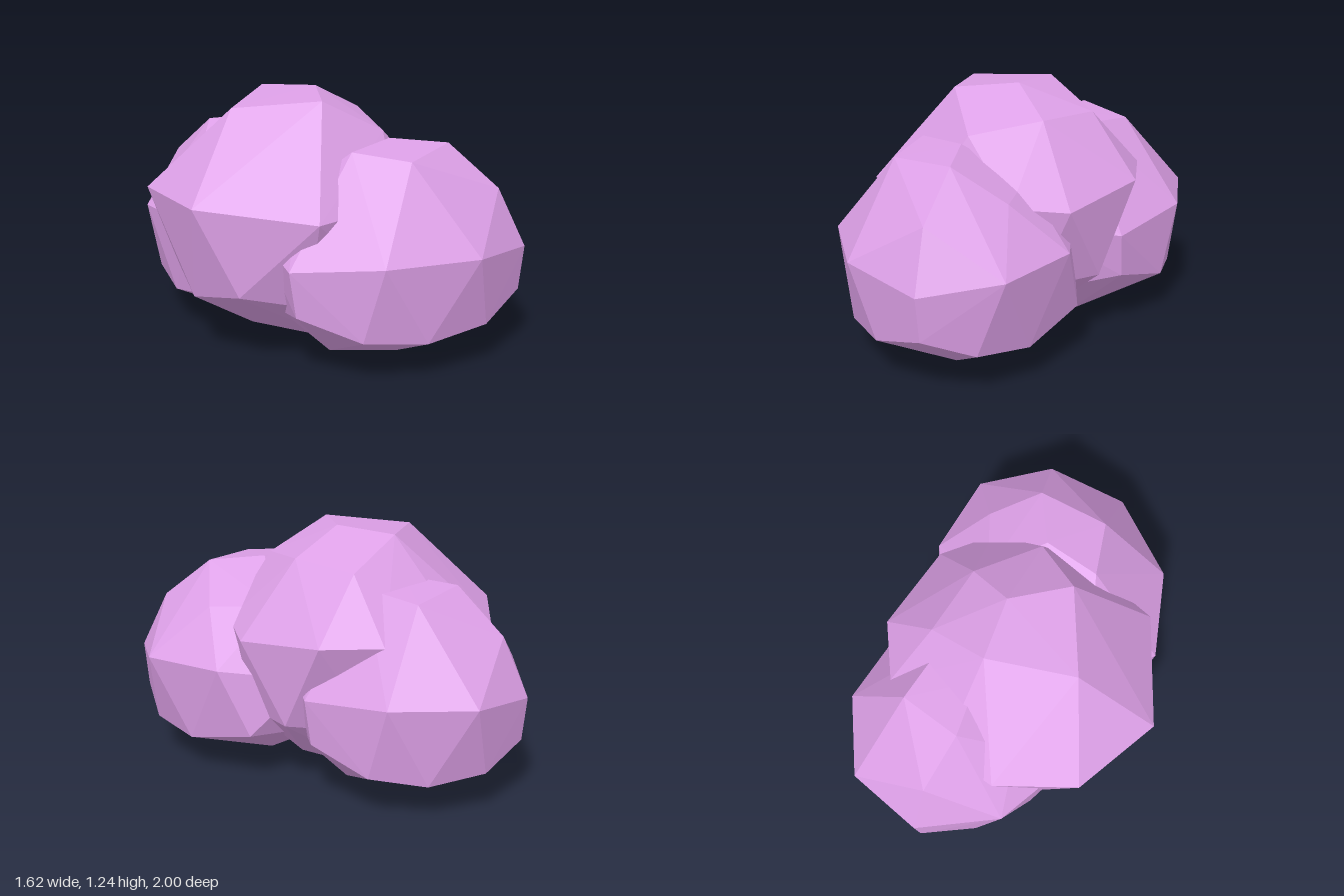
import * as THREE from 'three';
import { ConvexGeometry } from 'three/addons/geometries/ConvexGeometry.js';

const material = new THREE.MeshStandardMaterial({ color: 0xdc9fe6, flatShading: true });

// Faceted boulder: the convex hull of a few corners
function lobe(name, corners) {
  const points = corners.map(([x, y, z]) => new THREE.Vector3(x, y, z));
  const mesh = new THREE.Mesh(new ConvexGeometry(points), material);
  mesh.name = name;
  return mesh;
}

// Small lobe, corners listed in layers
const small = [
  // crown
  [0.40, 1.01, 0.55], [0.08, 0.985, 0.69], [-0.10, 1.01, 0.47], [0.17, 1.03, 0.39],
  [0.55, 0.81, 0.75], [0.54, 0.84, 0.33], [0.30, 0.85, 0.12], [-0.28, 0.82, 0.30],
  // waist
  [0.81, 0.59, 0.48], [0.65, 0.53, 0.84], [0.25, 0.58, 1.00], [-0.20, 0.58, 0.89],
  [-0.50, 0.53, 0.57], [-0.43, 0.59, 0.18], [-0.10, 0.59, -0.10], [0.28, 0.54, -0.15],
  [0.66, 0.60, 0.08],
  // lower ring
  [0.72, 0.22, 0.58], [0.64, 0.31, 0.82], [0.36, 0.22, 0.92], [0.03, 0.19, 0.91],
  [-0.26, 0.22, 0.81], [-0.47, 0.31, 0.58], [-0.36, 0.22, 0.25], [0.10, 0.22, -0.05],
  [0.55, 0.27, -0.03], [0.69, 0.19, 0.30],
  // base
  [0.36, 0.02, 0.52], [0.10, 0.02, 0.57], [-0.17, 0.02, 0.40], [0.22, 0.02, 0.28],
];

// Large middle lobe
const large = [
  // crown
  [-0.48, 1.18, 0.02], [-0.14, 1.22, 0.28], [0, 1.24, 0], [-0.15, 1.22, -0.26],
  [0.25, 1.11, 0], [0.15, 1.09, -0.33], [0.16, 1.06, 0.35],
  // waist
  [-0.81, 0.79, 0.24], [-0.81, 0.79, -0.23], [-0.37, 0.74, 0.62], [-0.54, 0.78, -0.54],
  [-0.27, 0.80, -0.62], [0.17, 0.80, -0.59], [0.42, 0.80, -0.42], [0.56, 0.75, 0.02],
  [0.46, 0.78, 0.28], [0.10, 0.75, 0.55],
  // lower ring
  [-0.73, 0.31, 0.08], [-0.64, 0.37, 0.36], [-0.34, 0.30, 0.48], [-0.62, 0.35, -0.32],
  [0.10, 0.32, 0.45], [0.46, 0.36, -0.20], [0.46, 0.36, 0.15], [0.10, 0.32, -0.45],
  // base
  [-0.04, 0, 0.25], [-0.06, 0, -0.22], [0.22, 0.10, 0], [-0.40, 0.10, 0.05],
];

export function createModel() {
  const group = new THREE.Group();
  group.name = 'lumpyRock';
  group.add(lobe('middleLobe', large), lobe('frontLobe', small));

  // Rear lobe: the small lobe turned round and made narrower
  const rear = small.map(([x, y, z]) => {
    const dx = x - 0.81, dz = z - 0.48;
    return [-0.66 - 0.82 * dx + 0.31 * dz, y, -0.58 - 0.26 * dx - 1.085 * dz];
  });
  group.add(lobe('rearLobe', rear));
  return group;
}
